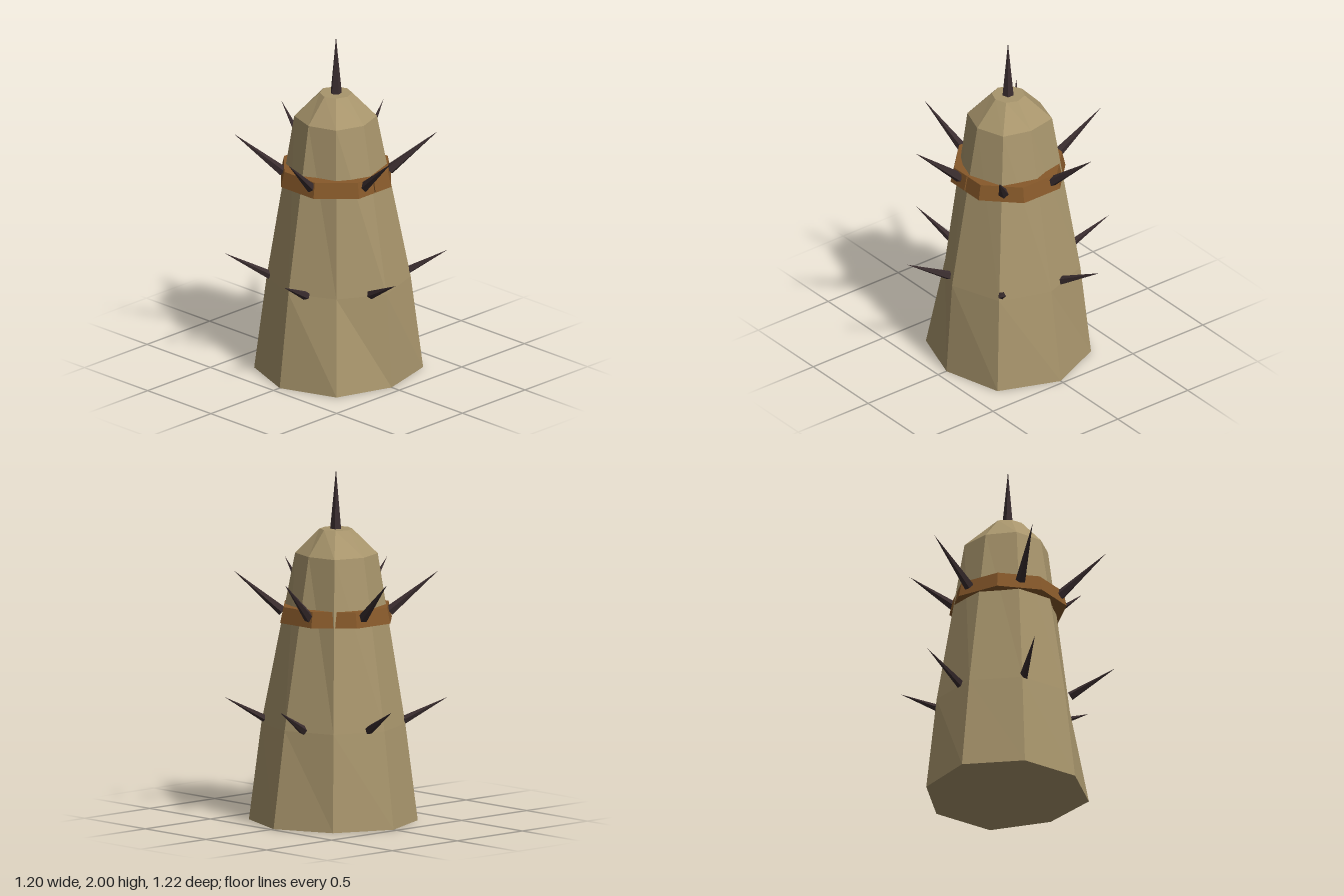
import * as THREE from 'three';

const mat = (name, color) => Object.assign(new THREE.MeshStandardMaterial({ color, flatShading: true }), { name });

// Closed faceted body from uneven octagonal rings, corner 0 on +x turning towards +z
function ringBody(rings) {
  const pos = [];
  const corner = ([y, radii], i) => {
    const k = i % 8, a = k * Math.PI / 4;
    return [radii[k] * Math.cos(a), y, radii[k] * Math.sin(a)];
  };
  const tri = (...pts) => pts.forEach(p => pos.push(...p));
  const last = rings[rings.length - 1];
  for (let i = 0; i < 8; i++) {
    for (let r = 0; r < rings.length - 1; r++) {
      const a = corner(rings[r], i), b = corner(rings[r], i + 1);
      const c = corner(rings[r + 1], i + 1), d = corner(rings[r + 1], i);
      tri(a, d, c);
      tri(a, c, b);
    }
    tri([0, rings[0][0], 0], corner(rings[0], i), corner(rings[0], i + 1));
    tri([0, last[0], 0], corner(last, i + 1), corner(last, i));
  }
  const g = new THREE.BufferGeometry();
  g.setAttribute('position', new THREE.Float32BufferAttribute(pos, 3));
  g.computeVertexNormals();
  return g;
}

// Octagonal band with a narrow slit at the front, narrowing slightly upwards
function bandGeometry(outer, inner, height, gap) {
  const loop = (apothem) => {
    const r = apothem / Math.cos(Math.PI / 8);
    const pts = [new THREE.Vector2(gap, -apothem)];
    for (let i = 0; i < 8; i++) {
      const a = -Math.PI / 2 + (i + 0.5) * Math.PI / 4;
      pts.push(new THREE.Vector2(r * Math.cos(a), r * Math.sin(a)));
    }
    pts.push(new THREE.Vector2(-gap, -apothem));
    return pts;
  };
  const shape = new THREE.Shape([...loop(outer), ...loop(inner).reverse()]);
  const g = new THREE.ExtrudeGeometry(shape, { depth: height, bevelEnabled: false });
  g.rotateX(-Math.PI / 2);
  const p = g.attributes.position;
  for (let i = 0; i < p.count; i++) {
    const s = 1 - 0.06 * p.getY(i) / height;
    p.setX(i, p.getX(i) * s);
    p.setZ(i, p.getZ(i) * s);
  }
  g.computeVertexNormals();
  return g;
}

export function createModel() {
  const group = new THREE.Group();
  const stone = mat('tan body', 0xa8956c);
  const leather = mat('brown band', 0x87592a);
  const horn = mat('dark spike', 0x3a2d2f);

  const add = (name, geometry, material) => {
    const m = new THREE.Mesh(geometry, material);
    m.name = name;
    group.add(m);
    return m;
  };

  // Tapering body with a domed top
  add('body', ringBody([
    [0, [0.48, 0.49, 0.44, 0.465, 0.45, 0.46, 0.475, 0.47]],
    [0.55, [0.395, 0.42, 0.4, 0.355, 0.38, 0.39, 0.4, 0.41]],
    [1.52, [0.21, 0.23, 0.22, 0.23, 0.22, 0.235, 0.23, 0.25]],
    [1.66, [0.092, 0.092, 0.09, 0.092, 0.092, 0.092, 0.1, 0.095]],
  ]), stone);

  // Band around the upper body
  add('band', bandGeometry(0.31, 0.24, 0.09, 0.004), leather).position.y = 1.14;

  // Spikes: five-sided cones running from base to tip
  const up = new THREE.Vector3(0, 1, 0);
  const spike = (name, base, tip, radius) => {
    const dir = tip.clone().sub(base);
    const g = new THREE.ConeGeometry(radius, dir.length(), 5, 1, false, -Math.PI / 2);
    const m = add(name, g, horn);
    m.position.copy(base).add(tip).multiplyScalar(0.5);
    m.quaternion.setFromUnitVectors(up, dir.normalize());
  };
  spike('topSpike', new THREE.Vector3(0, 1.64, 0), new THREE.Vector3(0, 2, 0), 0.035);

  // Two rows of six slanting spikes
  for (let i = 0; i < 6; i++) {
    const a = THREE.MathUtils.degToRad(43 + i * 60);
    const at = (r, y) => new THREE.Vector3(r * Math.cos(a), y, r * Math.sin(a));
    spike('upperSpike' + (i + 1), at(0.3, 1.19), at(0.575, 1.42), 0.03);
    spike('lowerSpike' + (i + 1), at(0.365, 0.56), at(0.628, 0.7), 0.026);
  }
  return group;
}
